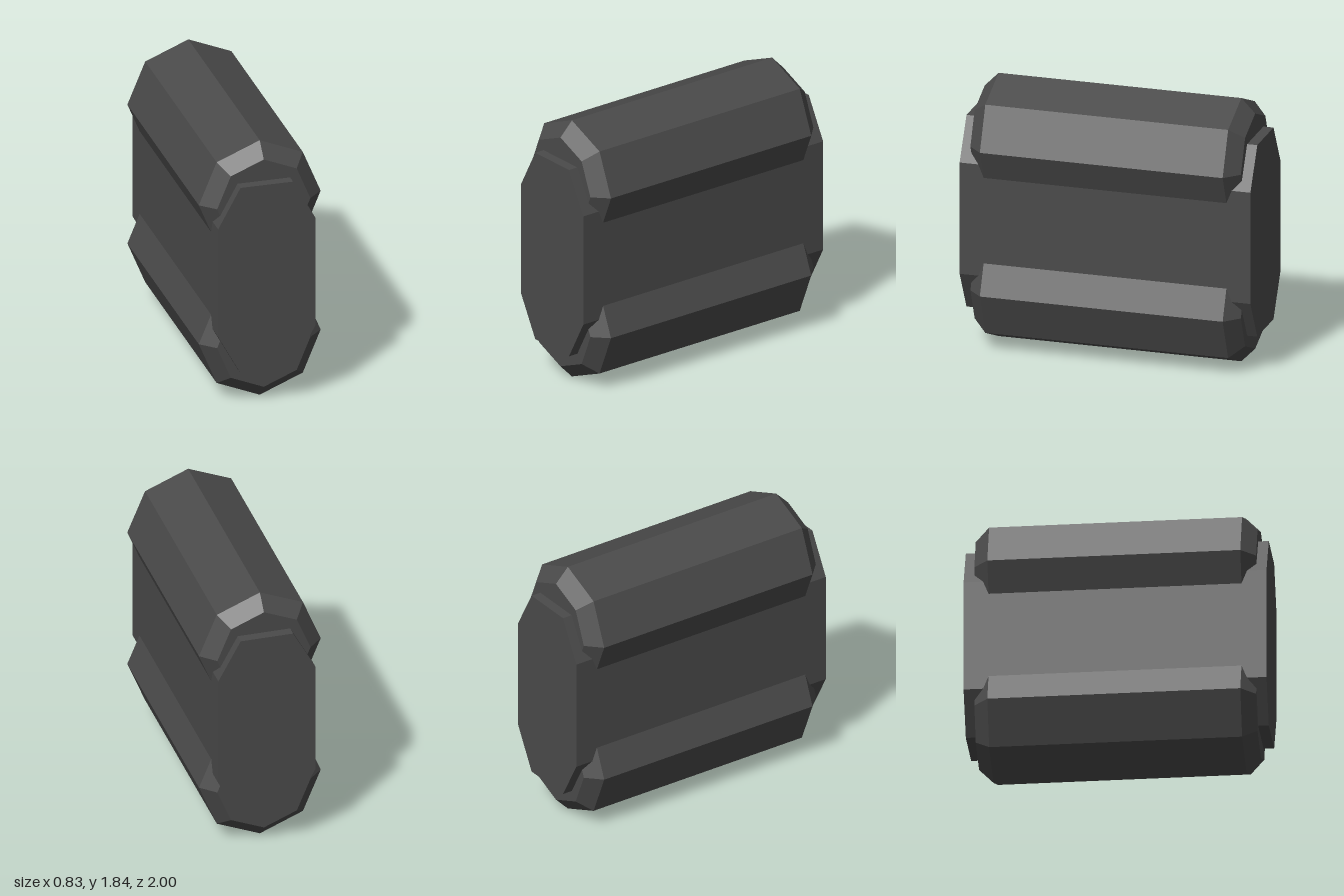
import * as THREE from 'three';

export function createModel() {
  const group = new THREE.Group();
  const material = new THREE.MeshStandardMaterial({ color: 0x4a4a4a, flatShading: true });

  // Central body: a tall block with sloped corners, extruded front to back
  const right = [[0.18, 0.25], [0.333, 0.53], [0.333, 1.306], [0.18, 1.586]];
  const left = right.map(([x, y]) => [-x, y]).reverse();
  const outline = new THREE.Shape([...right, ...left].map(([x, y]) => new THREE.Vector2(x, y)));
  const bodyGeometry = new THREE.ExtrudeGeometry(outline, { depth: 2, bevelEnabled: false });
  bodyGeometry.translate(0, 0, -1);
  const body = new THREE.Mesh(bodyGeometry, material);
  body.name = 'body';
  group.add(body);

  // Eight-sided rollers with chamfered ends, above and below
  const profile = [[0, -0.93], [0.319, -0.93], [0.417, -0.835], [0.417, 0.835], [0.319, 0.93], [0, 0.93]];
  const rollerGeometry = new THREE.LatheGeometry(profile.map(([r, z]) => new THREE.Vector2(r, z)), 8);
  rollerGeometry.rotateX(Math.PI / 2);
  for (const [name, y] of [['lowerRoller', 0.417], ['upperRoller', 1.419]]) {
    const roller = new THREE.Mesh(rollerGeometry, material);
    roller.name = name;
    roller.position.y = y;
    group.add(roller);
  }

  return group;
}
